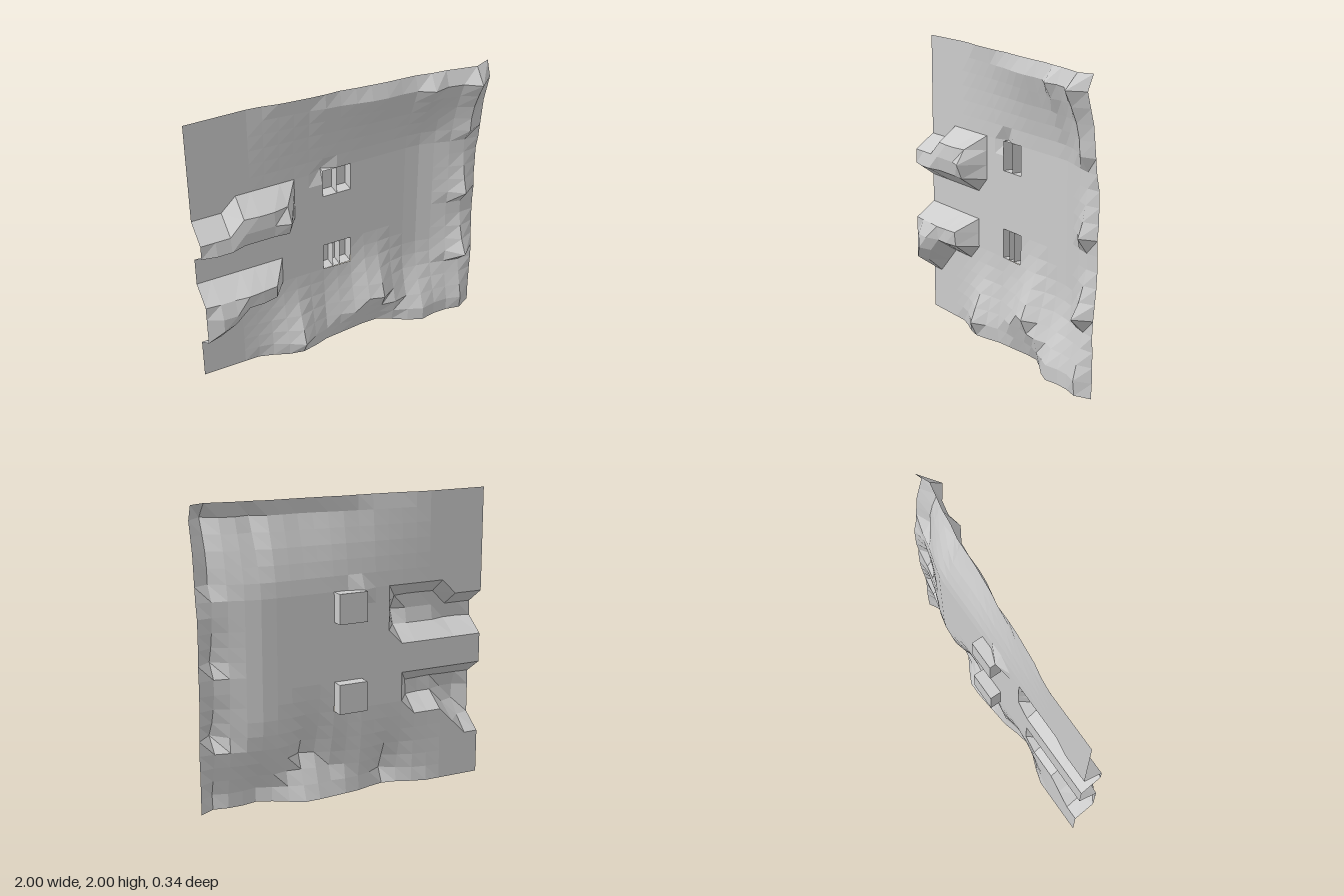
import * as THREE from 'three';

const FLOOR = -0.09;
const near = (a, b) => Math.abs(a - b) < 0.01;
// linear lookup in a list of evenly spaced values
function sample(list, start, step, t) {
  const f = Math.min(Math.max((t - start) / step, 0), list.length - 1.0001);
  const i = Math.floor(f + 1e-6);
  return THREE.MathUtils.lerp(list[i], list[Math.min(i + 1, list.length - 1)], f - i);
}

// profiles along x, from -0.7 to 1
const base = [-.09, -.09, -.09, -.09, -.09, -.09, -.09, -.09, -.09, -.09, -.09, -.09, -.09, -.085, -.06, -.03, -.01, -.02];
const topEdge = [-.09, -.09, -.08, -.06, -.05, -.04, -.035, -.035, -.02, -.01, 0, .005, .01, .03, .04, .06, .08, .04];
const topRidge = [-.09, -.09, -.08, -.07, -.06, -.05, -.03, -.02, 0, .02, .03, .03, .04, .1, .08, .1, .17, .08];
const lowRidge = [-.09, -.08, -.06, -.01, .05, -.01, -.04, -.03, 0, .02, .05, .02, .03, .07, .05, .05, .08, .02];
const lowEdge = [-.09, -.09, -.06, -.02, 0, -.02, -.05, -.06, -.07, -.08, -.08, -.03, .03, .07, .05, .05, .07, .015];
const ridgeY = [.1, .1, .1, .1, .1, .1, .1, .2, .2, .3, .3, .2, .1, .1, .1, .1, .1, .1];
// free side edge, from y = 0 to 2
const sideEdge = [.015, .01, .01, .01, .015, .01, 0, -.01, -.015, -.015, -.01, -.02, -.02, -.02, 0, .01, .02, .03, .055, .08, .04];
// fall-off away from the two ridges
const topFade = [0, .07, .24, .45, .73, 1];
const lowFade = [1, .72, .42, .18, .05, 0];

// raised blocks: rows of heights from x = -1, listed from the top row down
const blocks = [
  { top: 1.3, rows: [
    [-.09, -.09, -.09, .04, .05, .05, .03],
    [.05, .05, .05, .06, .06, .06, .09],
    [.05, .07, .07, .04, .04, .04, .05]] },
  { top: 0.7, rows: [
    [.05, .06, .06, .07, .06, .05],
    [.05, .1, .1, .06, .06, .04],
    [.05, .1, .06],
    [.05, .02]] },
];

function height(x, y) {
  for (const { top, rows } of blocks) {
    const row = rows[Math.round((top - y) * 10)];
    const h = row && row[Math.round((x + 1) * 10)];
    if (h !== undefined) return h;
  }
  if (near(x, 1)) return sample(sideEdge, 0, 0.1, y);
  if (near(x, -0.1) && near(y, 1.4)) return -0.13;
  const at = (list) => sample(list, -0.7, 0.1, x);
  const b = at(base), ry = at(ridgeY);
  if (near(y, 2)) return at(topEdge);
  let z = b + (at(topRidge) - b) * sample(topFade, 1.4, 0.1, y);
  if (y < ry - 0.01) z = THREE.MathUtils.lerp(at(lowEdge), at(lowRidge), y / ry);
  else z += (at(lowRidge) - b) * sample(lowFade, ry, 0.1, y);
  // saw-tooth folds next to the free edge
  if (near(x, 0.9) || near(x, 0.8)) {
    for (const [p, h] of [[1.5, .05], [1, .07], [.5, .11]]) {
      const d = y - p;
      if (d > -0.01 && d < 0.31) z += h * (near(x, 0.9) ? 1 : 0.2) * [1, .5, .2, 0][Math.round(d * 10)];
    }
  }
  return z;
}

// bumpy sheet: a 20 x 20 grid without the two pocket openings
function sheetGeometry() {
  const pos = [];
  const v = (i, j) => {
    const x = -1 + i / 10, y = j / 10;
    return [x, y, height(x, y)];
  };
  for (let j = 0; j < 20; j++) for (let i = 0; i < 20; i++) {
    const opening = (i === 9 || i === 10) && [6, 7, 12, 13].includes(j);
    if (opening) continue;
    const a = v(i, j), b = v(i + 1, j), c = v(i + 1, j + 1), d = v(i, j + 1);
    pos.push(...a, ...b, ...c, ...a, ...c, ...d);
  }
  const g = new THREE.BufferGeometry();
  g.setAttribute('position', new THREE.Float32BufferAttribute(pos, 3));
  g.computeVertexNormals();
  return g;
}

export function createModel() {
  const model = new THREE.Group();
  const material = new THREE.MeshStandardMaterial({ color: 0xcccccc, flatShading: true, side: THREE.DoubleSide });
  const add = (parent, name, geometry, x = 0, y = 0, z = 0, ry = 0, rx = 0) => {
    const m = new THREE.Mesh(geometry, material);
    m.name = name;
    m.position.set(x, y, z);
    m.rotation.set(rx, ry, 0);
    parent.add(m);
  };
  add(model, 'sheet', sheetGeometry());

  // pockets behind the sheet, open to the front
  const depth = 0.08, mid = FLOOR - depth / 2;
  for (const [name, y] of [['upperPocket', 1.3], ['lowerPocket', 0.7]]) {
    const pocket = new THREE.Group();
    pocket.name = name;
    const wall = new THREE.PlaneGeometry(depth, 0.2);
    const shelf = new THREE.PlaneGeometry(0.2, depth);
    add(pocket, 'pocketBack', new THREE.PlaneGeometry(0.2, 0.2), 0, y, FLOOR - depth);
    for (const s of [-1, 1]) {
      add(pocket, 'pocketSide', wall, s * 0.1, y, mid, Math.PI / 2);
      add(pocket, 'pocketShelf', shelf, 0, y + s * 0.1, mid, 0, Math.PI / 2);
    }
    // upright dividers inside the lower pocket, one in the upper
    for (const x of y > 1 ? [0] : [-0.03, 0.02]) add(pocket, 'divider', wall, x, y, mid, Math.PI / 2);
    model.add(pocket);
  }
  return model;
}
